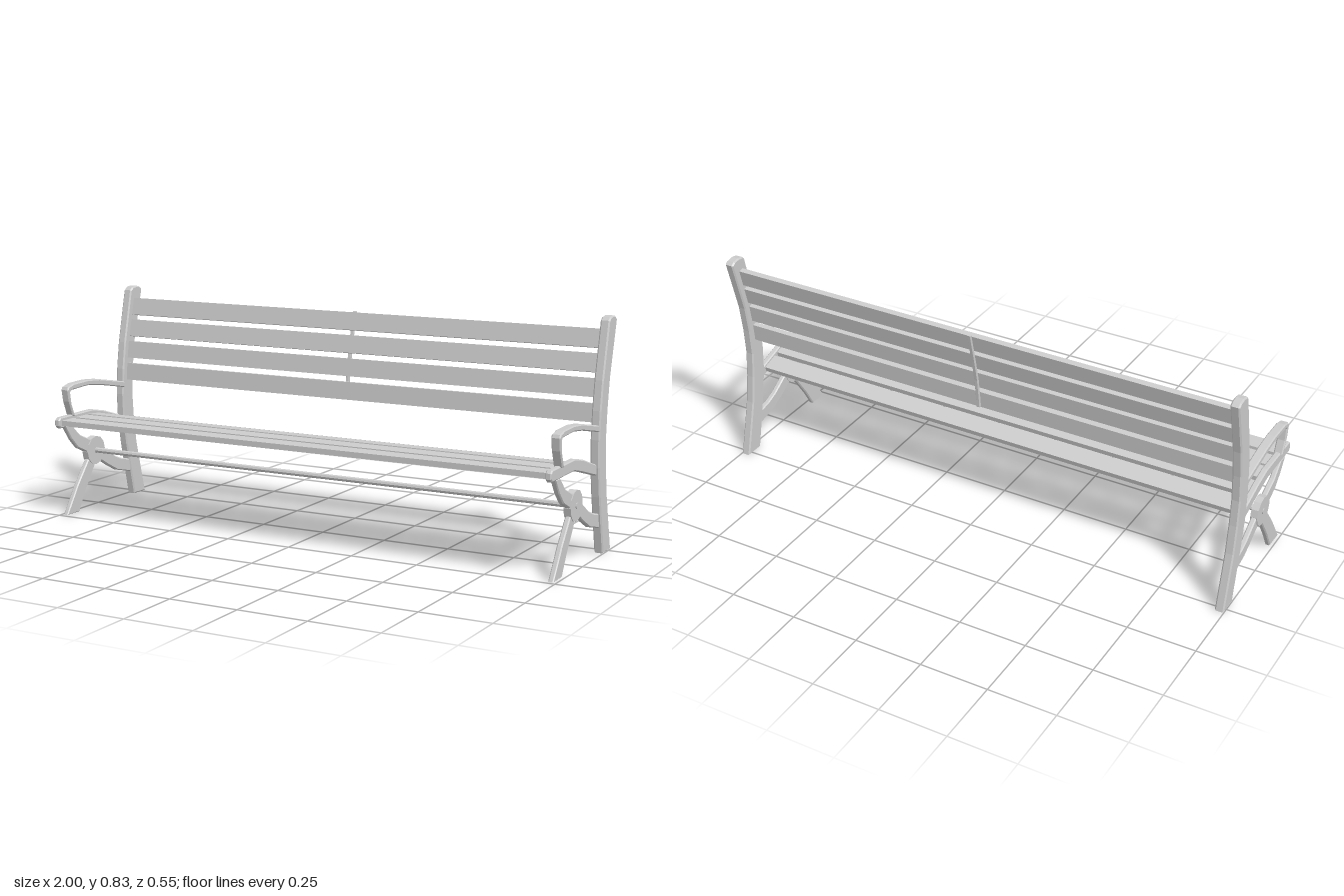
import * as THREE from 'three';

const material = new THREE.MeshStandardMaterial({ color: 0xcccccc, flatShading: true });

// Side profiles as [z, y] corners
const post = [
  [-0.2, 0], [-0.154, 0.208], [-0.137, 0.313], [-0.133, 0.41], [-0.139, 0.51], [-0.154, 0.613],
  [-0.2, 0.812], [-0.213, 0.823], [-0.237, 0.827], [-0.261, 0.823], [-0.275, 0.812],
  [-0.222, 0.613], [-0.207, 0.51], [-0.2, 0.41], [-0.207, 0.313], [-0.222, 0.208], [-0.273, 0],
];
const armrest = [
  [-0.145, 0.46], [0.023, 0.492], [0.097, 0.499], [0.185, 0.497], [0.218, 0.488], [0.224, 0.477],
  [0.216, 0.433], [0.194, 0.375], [0.18, 0.375], [0.2, 0.422], [0.207, 0.466], [0.198, 0.475],
  [0.1, 0.479], [0.023, 0.47], [-0.145, 0.437],
];
const seatSupport = [
  [0.277, 0.37], [0.266, 0.38], [0.065, 0.381], [-0.012, 0.365], [-0.145, 0.323],
  [-0.145, 0.285], [0, 0.324], [0.07, 0.341], [0.266, 0.339], [0.277, 0.35],
];
const upperBrace = [
  [0.237, 0.342], [0.196, 0.342], [0.145, 0.295], [0.07, 0.262],
  [0.09, 0.215], [0.16, 0.247], [0.2, 0.287],
];
const rearBrace = [
  [0.005, 0.226], [-0.078, 0.175], [-0.12, 0.158], [-0.175, 0.146],
  [-0.18, 0.094], [-0.09, 0.116], [-0.03, 0.147], [0.025, 0.18],
];
const frontLeg = [
  [0.09, 0.2], [0.167, 0.105], [0.237, 0], [0.161, 0], [0.123, 0.066], [0.05, 0.172],
];

// Extrude a side profile between two x positions, with bevelled edges
function plate(name, points, x0, x1, bevel) {
  const shape = new THREE.Shape(points.map(([z, y]) => new THREE.Vector2(z, y)));
  const geometry = new THREE.ExtrudeGeometry(shape, {
    depth: x1 - x0 - 2 * bevel, bevelEnabled: true, bevelThickness: bevel,
    bevelSize: bevel, bevelOffset: -bevel, bevelSegments: 1,
  });
  geometry.rotateY(-Math.PI / 2);
  geometry.translate(x1 - bevel, 0, 0);
  return named(name, geometry);
}

function named(name, geometry) {
  const mesh = new THREE.Mesh(geometry, material);
  mesh.name = name;
  return mesh;
}

function box(name, size, y, z, tilt) {
  const mesh = named(name, new THREE.BoxGeometry(...size));
  mesh.position.set(0, y, z);
  mesh.rotation.x = -tilt;
  return mesh;
}

// Cylinder lying along x
function disc(name, radius, length, sides, x) {
  const geometry = new THREE.CylinderGeometry(radius, radius, length, sides);
  geometry.rotateZ(Math.PI / 2);
  const mesh = named(name, geometry);
  mesh.position.set(x, 0.22, 0.05);
  return mesh;
}

// One end frame; side is +1 for left and -1 for right
function endFrame(side) {
  const frame = new THREE.Group();
  frame.name = side > 0 ? 'leftEndFrame' : 'rightEndFrame';
  const add = (name, points, inner, outer, bevel) => {
    const [x0, x1] = side > 0 ? [inner, outer] : [-outer, -inner];
    frame.add(plate(name, points, x0, x1, bevel));
  };
  add('backPost', post, 0.966, 1, 0.005);
  add('armrest', armrest, 0.964, 0.997, 0.004);
  add('seatSupport', seatSupport, 0.968, 0.99, 0.004);
  add('upperBrace', upperBrace, 0.97, 0.99, 0.004);
  add('rearBrace', rearBrace, 0.97, 0.99, 0.004);
  add('frontLeg', frontLeg, 0.97, 0.99, 0.004);
  frame.add(disc('hub', 0.055, 0.026, 12, side * 0.98));
  frame.add(disc('hubBolt', 0.011, 0.032, 8, side * 0.98));
  return frame;
}

export function createModel() {
  const bench = new THREE.Group();
  bench.name = 'bench';
  bench.add(endFrame(1), endFrame(-1));

  // Seat slats: [z, y, tilt]
  const seat = new THREE.Group();
  seat.name = 'seatSlats';
  for (const [z, y, tilt] of [
    [0.227, 0.358, 0], [0.144, 0.358, 0], [0.066, 0.356, 0.08],
    [-0.016, 0.342, 0.25], [-0.096, 0.318, 0.29],
  ]) seat.add(box('seatSlat', [1.945, 0.02, 0.067], y, z, tilt));
  bench.add(seat);

  // Back slats following the curve of the posts, with a strap behind each
  const back = new THREE.Group();
  back.name = 'backrest';
  const rows = [[0.497, -0.172, 0.1], [0.582, -0.183, 0.16], [0.665, -0.201, 0.24], [0.747, -0.221, 0.24]];
  for (const [y, z, tilt] of rows) back.add(box('backSlat', [1.945, 0.065, 0.02], y, z, tilt));

  // Centre strap
  const front = [[0.467, -0.178], ...rows.map(([y, z]) => [y, z - 0.009]), [0.782, -0.238]];
  const outline = [
    ...front.map(([y, z]) => [z, y]),
    ...front.map(([y, z]) => [z - 0.011, y]).reverse(),
  ];
  back.add(plate('centreStrap', outline, -0.006, 0.006, 0.001));
  bench.add(back);

  // Stretcher rod between the hubs
  bench.add(disc('stretcherRod', 0.01, 1.95, 8, 0));
  return bench;
}
